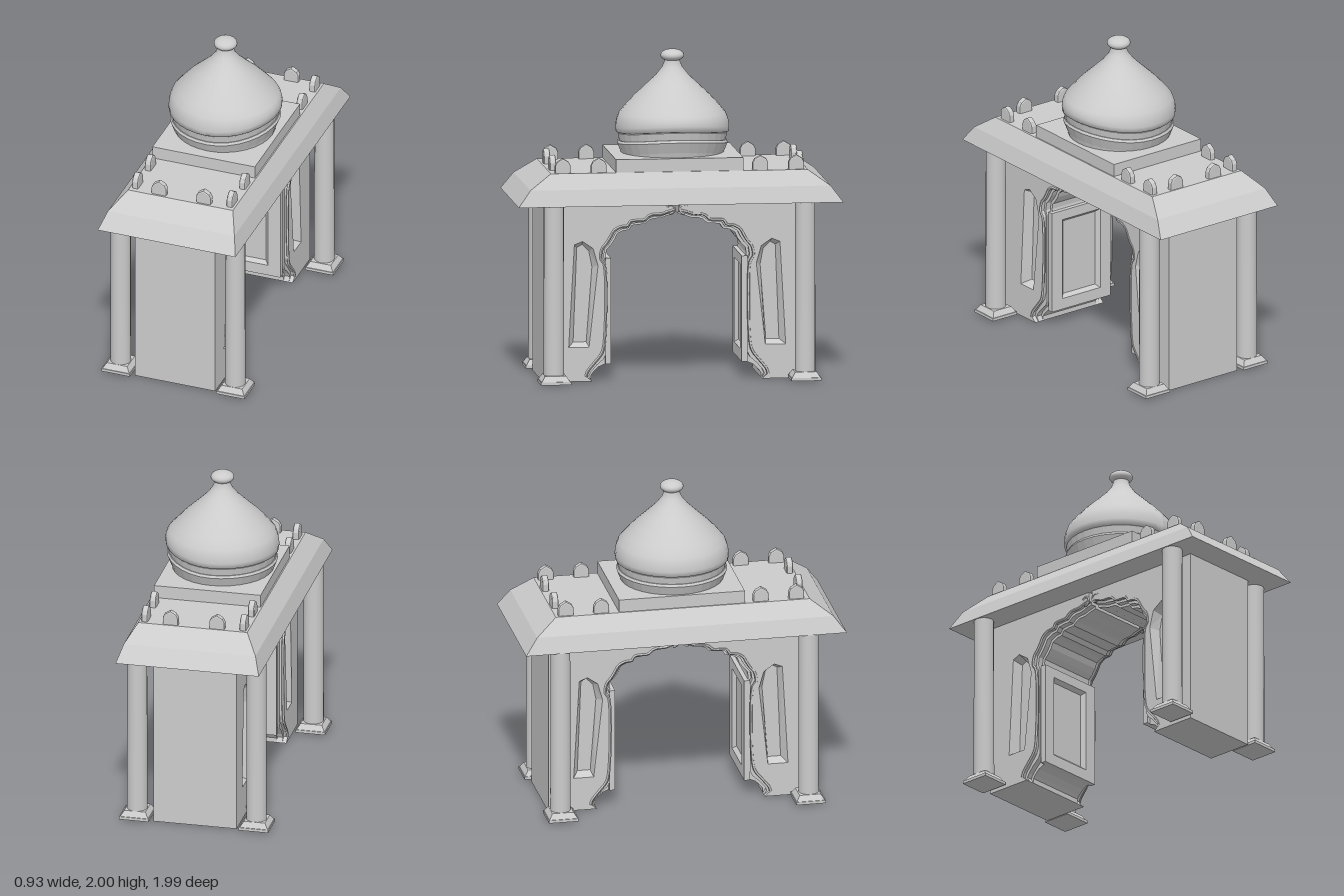
import * as THREE from 'three';

const flat = new THREE.MeshStandardMaterial({ color: 0xcccccc, flatShading: true, side: THREE.DoubleSide });
const smooth = new THREE.MeshStandardMaterial({ color: 0xcccccc, side: THREE.DoubleSide });

function add(parent, name, geometry, x = 0, y = 0, z = 0, material = flat) {
  const mesh = new THREE.Mesh(geometry, material);
  mesh.name = name;
  mesh.position.set(x, y, z);
  parent.add(mesh);
  return mesh;
}

const toShape = (pts) => new THREE.Shape(pts.map(([u, v]) => new THREE.Vector2(u, v)));

// Plate drawn in (z, y), spanning x0..x1
function plateX(pts, x0, x1, hole) {
  const shape = toShape(pts);
  if (hole) shape.holes.push(toShape(hole));
  const g = new THREE.ExtrudeGeometry(shape, { depth: x1 - x0, bevelEnabled: false });
  return g.rotateY(-Math.PI / 2).translate(x1, 0, 0);
}

// Quads joining closed cross-sections of equal length, optionally capped
function loft(rings, caps = false) {
  const n = rings[0].length, index = [];
  for (let r = 0; r < rings.length - 1; r++) {
    for (let i = 0; i < n; i++) {
      const a = r * n + i, b = r * n + (i + 1) % n;
      index.push(a, b, a + n, b, b + n, a + n);
    }
  }
  if (caps) {
    const t = (rings.length - 1) * n;
    for (let i = 1; i < n - 1; i++) index.push(0, i + 1, i, t, t + i, t + i + 1);
  }
  const g = new THREE.BufferGeometry();
  g.setAttribute('position', new THREE.Float32BufferAttribute(rings.flat(2), 3));
  g.setIndex(index);
  const out = g.toNonIndexed();
  out.computeVertexNormals();
  return out;
}

// Points pulled toward the middle of their outline
function inset(pts, su, sv) {
  const cu = pts.reduce((s, p) => s + p[0], 0) / pts.length;
  const vs = pts.map((p) => p[1]);
  const cv = (Math.min(...vs) + Math.max(...vs)) / 2;
  return pts.map(([u, v]) => [cu + (u - cu) * su, cv + (v - cv) * sv]);
}

// Half of the scalloped opening: z, y, and how far each point steps back at the face
const opening = [
  [0.52, 0, 0, 0], [0.52, 0.03, 0.035, 0], [0.505, 0.05, 0.04, 0.01], [0.475, 0.08, 0.03, 0.03],
  [0.44, 0.095, 0.02, 0.07], [0.425, 0.1, 0.02, 0.12], [0.425, 0.74, 0.02, -0.02],
  [0.43, 0.765, 0.035, -0.01], [0.425, 0.8, 0.03, 0.015], [0.4, 0.825, 0.03, 0.02],
  [0.375, 0.86, 0.03, 0.025], [0.36, 0.895, 0.025, 0.025], [0.325, 0.913, 0.02, 0.03],
  [0.288, 0.918, 0.015, 0.03], [0.27, 0.945, 0.015, 0.03], [0.235, 0.95, 0.01, 0.03],
  [0.19, 0.953, 0.01, 0.03], [0.165, 0.975, 0.01, 0.03], [0.14, 0.985, 0.01, 0.03],
  [0.09, 0.988, 0.005, 0.03], [0.06, 1.0, 0, 0.03], [0.012, 1.012, 0, 0.03],
];
const panel = [[0.665, 0.21], [0.63, 0.84], [0.58, 0.86], [0.515, 0.815], [0.485, 0.71], [0.54, 0.21]];

function createHalfArch() {
  const half = new THREE.Group();
  const outline = (k) => [
    [0.82, 0], ...opening.map(([z, y, dz, dy]) => [z + dz * k, y + dy * k]), [0.012, 1.12], [0.82, 1.12],
  ];
  // Wall core and stepped outer layers
  add(half, 'wallCore', plateX(outline(0), -0.2, 0.2));
  for (const s of [-1, 1]) {
    [[0.2, 0.235, 0.5], [0.235, 0.26, 1]].forEach(([a, b, k]) => {
      add(half, 'wallLayer', plateX(outline(k), s > 0 ? a : -b, s > 0 ? b : -a, panel));
    });
    // Sloped sides of the tall sunken panel
    const inner = inset(panel, 0.64, 0.92);
    add(half, 'sidePanelBevel', loft([
      panel.map(([z, y]) => [s * 0.26, y, z]),
      inner.map(([z, y]) => [s * 0.202, y, z]),
    ]));
    // Raised bead following the opening, ending in a scroll at the crown
    const bead = opening.slice(1).map(([z, y, dz, dy]) =>
      new THREE.Vector3(s * 0.257, y + dy * 1.1, z + dz * 1.1));
    const path = new THREE.CatmullRomCurve3(bead, false, 'centripetal');
    add(half, 'archBead', new THREE.TubeGeometry(path, 90, 0.009, 5));
    const scroll = [];
    for (let i = 0; i <= 10; i++) {
      const a = -1.7 + i * 0.43, r = 0.033 - i * 0.0014;
      scroll.push(new THREE.Vector3(s * 0.257, 1.053 + r * Math.sin(a), 0.043 - r * Math.cos(a)));
    }
    add(half, 'crownScroll', new THREE.TubeGeometry(new THREE.CatmullRomCurve3(scroll), 24, 0.008, 5));
  }
  // Jamb block with a sunken panel facing the passage
  const rect = (w, y0, y1) => [[-w, y0], [w, y0], [w, y1], [-w, y1]];
  const frame = toShape(rect(0.225, 0.1, 0.75));
  const hole = rect(0.145, 0.17, 0.69);
  frame.holes.push(toShape(hole));
  add(half, 'jambFrame', new THREE.ExtrudeGeometry(frame, { depth: 0.035, bevelEnabled: false }), 0, 0, 0.4);
  add(half, 'jambPanelBevel', loft([
    hole.map(([x, y]) => [x, y, 0.4]),
    inset(hole, 0.84, 0.92).map(([x, y]) => [x, y, 0.424]),
  ]));

  // Columns on flared square feet
  for (const s of [-1, 1]) {
    add(half, 'column', new THREE.CylinderGeometry(0.061, 0.063, 1.06, 16), s * 0.372, 0.58, 0.77, smooth);
    const foot = new THREE.CylinderGeometry(0.066 * Math.SQRT2, 0.088 * Math.SQRT2, 0.035, 4).rotateY(Math.PI / 4);
    add(half, 'columnFoot', foot, s * 0.373, 0.043, 0.767);
    add(half, 'columnPlinth', new THREE.BoxGeometry(0.184, 0.018, 0.184), s * 0.373, 0.018, 0.767);
  }
  return half;
}

function createDome() {
  const dome = new THREE.Group();
  dome.name = 'dome';
  const profiles = {
    domeBase: [[0.3, 1.32], [0.312, 1.365], [0.338, 1.43], [0.33, 1.445], [0.31, 1.445]],
    domeBand: [[0.315, 1.44], [0.325, 1.445], [0.334, 1.49], [0.32, 1.5]],
    domeShell: [[0.32, 1.49], [0.345, 1.498], [0.347, 1.53], [0.342, 1.57], [0.327, 1.61], [0.29, 1.655],
      [0.23, 1.72], [0.165, 1.78], [0.1, 1.842], [0.062, 1.89], [0.048, 1.925], [0.048, 1.95]],
  };
  for (const [name, pts] of Object.entries(profiles)) {
    const g = new THREE.LatheGeometry(pts.map(([r, y]) => new THREE.Vector2(r, y)), 32);
    // The mouldings rise gently toward the left side
    const p = g.attributes.position;
    for (let i = 0; i < p.count; i++) {
      const c = Math.max(0, p.getX(i) / Math.hypot(p.getX(i), p.getZ(i)));
      const fade = THREE.MathUtils.clamp((1.63 - p.getY(i)) / 0.1, 0, 1);
      p.setY(i, p.getY(i) + 0.037 * c * c * fade);
    }
    g.computeVertexNormals();
    add(dome, name, g, 0, 0, 0, name === 'domeShell' ? smooth : flat);
  }
  const finial = add(dome, 'finial', new THREE.SphereGeometry(0.072, 24, 14), 0, 1.962, 0, smooth);
  finial.scale.y = 0.53;
  dome.position.x = 0.019;
  return dome;
}

export function createModel() {
  const model = new THREE.Group();

  // Two matching halves of the gate
  for (const [name, turn] of [['frontHalf', 0], ['backHalf', Math.PI]]) {
    const half = createHalfArch();
    half.name = name;
    half.rotation.y = turn;
    model.add(half);
  }

  // Hipped roof with a kinked slope
  const ring = (x0, x1, z, y) => [[x0, y, z], [x1, y, z], [x1, y, -z], [x0, y, -z]];
  add(model, 'roof', loft([
    ring(-0.438, 0.456, 0.995, 1.1), ring(-0.4, 0.422, 0.92, 1.2), ring(-0.318, 0.362, 0.787, 1.293),
  ], true));
  add(model, 'domeSlab', new THREE.BoxGeometry(0.665, 0.09, 0.78), 0.022, 1.327, -0.003);
  model.add(createDome());

  // Small arched crestings around the roof edge
  const crest = toShape([[-0.04, 0], [0.04, 0], [0.04, 0.045], [0.03, 0.065], [0, 0.083], [-0.03, 0.065], [-0.04, 0.045]]);
  const crestGeo = new THREE.ExtrudeGeometry(crest, {
    depth: 0.016, bevelEnabled: true, bevelSize: 0.008, bevelThickness: 0.012, bevelSegments: 2,
  }).translate(0, 0, -0.008);
  for (const z of [-0.72, -0.5, 0.49, 0.71]) {
    for (const x of [-0.285, 0.328]) add(model, 'cresting', crestGeo, x, 1.29, z).rotation.y = Math.PI / 2;
  }
  for (const z of [-0.76, 0.755]) {
    for (const x of [-0.125, 0.165]) add(model, 'cresting', crestGeo, x, 1.29, z);
  }
  return model;
}
